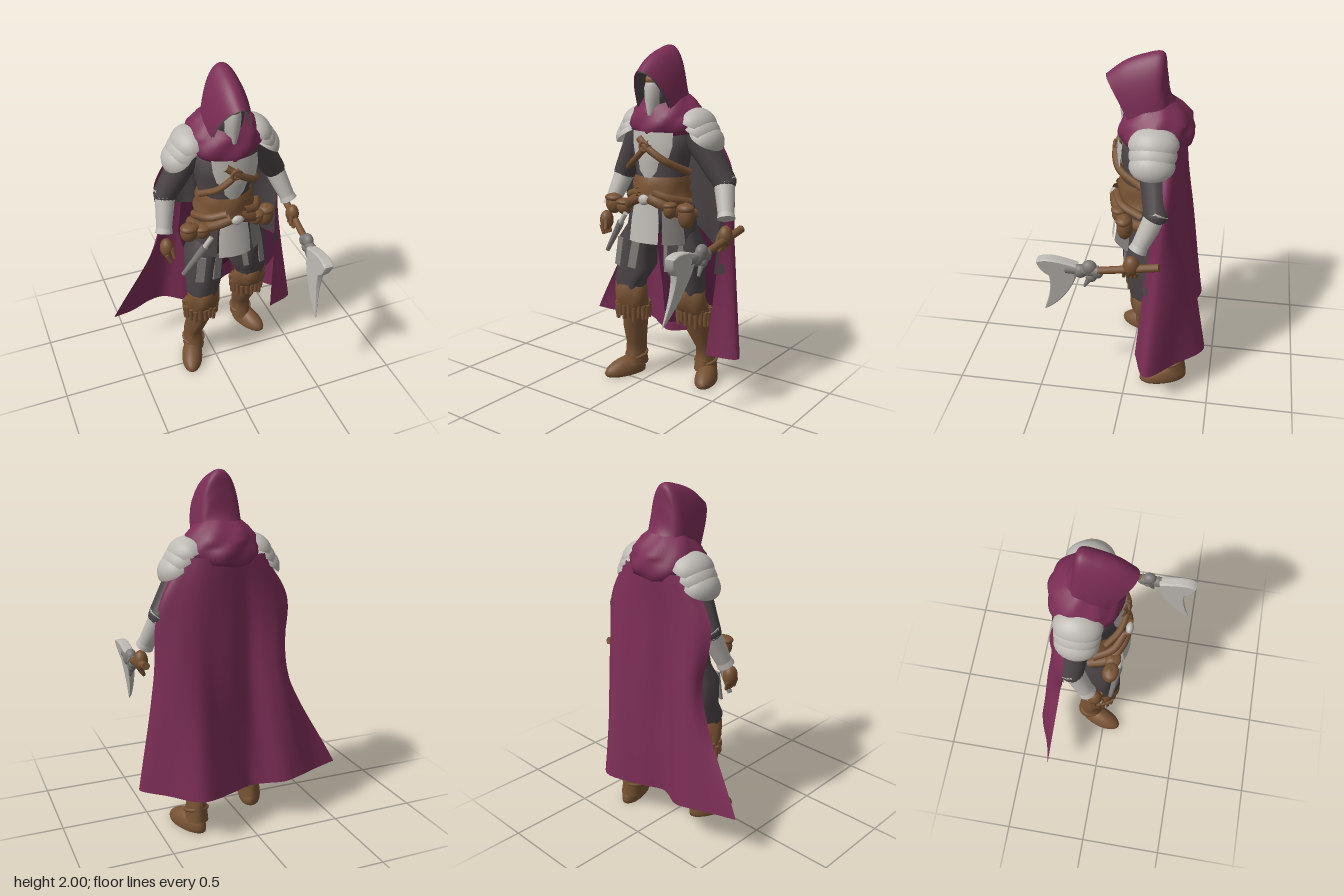
import * as THREE from 'three';
import { mergeVertices } from 'three/addons/utils/BufferGeometryUtils.js';

const V = (x, y, z) => new THREE.Vector3(x, y, z);
const paint = (name, color) => new THREE.MeshStandardMaterial({ name, color, side: THREE.DoubleSide });

export function createModel() {
  const model = new THREE.Group();
  model.name = 'hoodedWarrior';
  const purple = paint('purple cloth', 0x7b2d55), deep = paint('deep purple cloth', 0x4c1a38);
  const silver = paint('pale steel', 0xbdb9b3), grey = paint('grey steel', 0x7d7976);
  const dark = paint('dark cloth', 0x4a4345), brown = paint('brown leather', 0x775233);
  const skin = paint('skin', 0x8a6240);

  const add = (name, mat, geo) => {
    const m = new THREE.Mesh(geo, mat);
    m.name = name;
    model.add(m);
    return m;
  };
  // Surface through a grid of points
  const grid = (rows) => {
    const n = rows[0].length, idx = [];
    for (let i = 0; i < rows.length - 1; i++) for (let j = 0; j < n - 1; j++) {
      const a = i * n + j, b = a + n;
      idx.push(a, b, a + 1, b, b + 1, a + 1);
    }
    let g = new THREE.BufferGeometry().setFromPoints(rows.flat());
    g.setIndex(idx);
    g = mergeVertices(g, 1e-5);
    g.computeVertexNormals();
    return g;
  };
  // Smooth cloth through a few guide rows; v0 and v1 give the extent of each column
  const loft = (rows, nu, nv, v0 = () => 0, v1 = () => 1) => {
    const cols = rows[0].map((_, j) => new THREE.CatmullRomCurve3(rows.map(r => r[j])));
    return grid(Array.from({ length: nv + 1 }, (_, i) => new THREE.CatmullRomCurve3(
      cols.map((c, j) => c.getPoint(THREE.MathUtils.lerp(v0(j), v1(j), i / nv)))).getPoints(nu)));
  };
  // Stack of elliptical rings [y, cx, cz, rx, rz, arc]; ripple makes folds
  const stack = (name, mat, rings, seg = 28, ripple = 0, waves = 7) =>
    add(name, mat, grid(rings.map(([y, cx, cz, rx, rz, arc = Math.PI], i) =>
      Array.from({ length: seg + 1 }, (_, j) => {
        const a = arc * (2 * j / seg - 1), k = 1 + ripple * Math.sin(waves * a + i * 1.3);
        return V(cx + rx * k * Math.sin(a), y + ripple * 0.15 * Math.sin(3 * a + i), cz + rz * k * Math.cos(a));
      }))));
  const limb = (name, mat, a, b, ra, rb, seg = 14) => {
    const m = add(name, mat, new THREE.CylinderGeometry(rb, ra, a.distanceTo(b), seg));
    m.position.copy(a).lerp(b, 0.5);
    m.quaternion.setFromUnitVectors(V(0, 1, 0), b.clone().sub(a).normalize());
    return m;
  };
  const ball = (name, mat, p, s) => {
    const m = add(name, mat, new THREE.SphereGeometry(1, 20, 14));
    m.position.copy(p);
    m.scale.copy(s);
    return m;
  };
  const strap = (name, mat, pts, r) =>
    add(name, mat, new THREE.TubeGeometry(new THREE.CatmullRomCurve3(pts), 24, r, 8));

  // Cape, with dark lining inside: near black above, deep purple behind the legs
  const capeRow = (ys, xs, zs) => xs.map((x, i) => V(x, ys[i] ?? ys[0], zs[i]));
  const cape = [
    capeRow([1.56], [-.14, -.13, -.08, -.02, .04, .1, .16, .22, .27, .32, .34],
      [-.19, -.26, -.28, -.29, -.3, -.3, -.3, -.29, -.27, -.24, -.2]),
    capeRow([1.3], [-.3, -.25, -.18, -.1, -.02, .08, .18, .28, .38, .465, .45],
      [-.2, -.25, -.28, -.29, -.28, -.3, -.31, -.31, -.28, -.23, -.17]),
    capeRow([.9], [-.28, -.26, -.2, -.13, -.04, .07, .19, .3, .42, .495, .45],
      [-.24, -.3, -.33, -.32, -.28, -.32, -.34, -.36, -.31, -.2, -.13]),
    capeRow([.27, .26, .26, .25, .23, .22, .23, .25, .24, .23, .24], [-.59, -.46, -.32, -.22, -.1, -.03, .1, .31, .46, .582, .41],
      [-.3, -.33, -.385, -.4, -.34, -.315, -.38, -.46, -.3, -.14, -.06]),
  ];
  add('cape', purple, loft(cape, 70, 30));
  const lining = cape.map(r => r.map(p => V(.08 + (p.x - .08) * .97, p.y, p.z + .01)));
  const liningEnd = j => .54 + .22 * THREE.MathUtils.smoothstep(j, 4, 8);
  add('capeLining', dark, loft(lining, 70, 20, () => 0, liningEnd));
  add('lowerCapeLining', deep, loft(lining.map(r => r.slice(3, 10)), 40, 12, j => liningEnd(j + 3),
    j => [.7, .86, .97, .94, .92, .93, .8][j]));

  // Hood: arches [apexY, apexZ, baseY, baseZ, halfWidth, point] from brim to nape
  const hood = (w0, drop) => [[1.865, .14, 1.58, -.01, .116, 1.5], [1.94, .045, 1.57, -.04, .126, 1.3], [1.985, -.06, 1.56, -.08, .132, 1],
    [2.0, -.16, 1.56, -.1, .13, 1], [1.9, -.18, 1.56, -.15, .128, 1], [1.77, -.2, 1.56, -.2, .125, 1], [1.67, -.275, 1.54, -.25, .12, 1]]
    .map(([ay, az, by, bz, w, p]) => Array.from({ length: 17 }, (_, j) => {
      const a = (j / 8 - 1) * Math.PI / 2, h = Math.pow(Math.max(Math.cos(a), 0), .85);
      return V(.085 + (w - w0) * Math.sin(a), by + (ay - by) * h - drop, bz + (az - bz) * Math.pow(h, p));
    }));
  add('hood', purple, loft(hood(0, 0), 48, 36));
  add('hoodLining', dark, loft(hood(.01, .014), 48, 16, () => .01, () => .42));
  stack('cowl', purple, [[1.74, .085, -.13, .11, .1], [1.7, .085, -.14, .155, .14], [1.655, .085, -.135, .195, .185],
    [1.625, .085, -.13, .203, .187], [1.6, .085, -.13, .225, .2], [1.56, .085, -.13, .228, .205],
    [1.52, .085, -.13, .19, .2], [1.5, .085, -.12, .15, .17], [1.52, .085, -.12, .1, .1]]
    .map(([y, x, z, rx, rz]) => [y - .0, x, z, rx, rz]), 64, .03, 7);

  // Head and face mask
  ball('head', dark, V(.085, 1.74, -.05), V(.09, .12, .09));
  ball('brow', skin, V(.085, 1.815, .0), V(.05, .035, .06));
  stack('faceMask', silver, [[1.8, .085, -.01, .05, .07, 1.3], [1.77, .085, -.01, .056, .082, 1.3],
    [1.7, .085, -.01, .05, .08, 1.3], [1.62, .085, -.01, .028, .07, 1.3]], 16);

  // Torso, breastplate and straps
  stack('torso', dark, [[1.58, .08, -.12, .13, .1], [1.5, .08, -.09, .185, .14], [1.4, .08, -.08, .18, .14],
    [1.26, .08, -.08, .15, .13], [1.1, .08, -.08, .18, .15], [.98, .08, -.08, .2, .15], [.96, .08, -.08, 0, 0]], 32);
  stack('breastplate', silver, [[1.53, .095, -.08, .2, .155, .75], [1.46, .1, -.08, .205, .16, .72],
    [1.39, .1, -.08, .2, .16, .62], [1.36, .09, -.08, .185, .157, .38], [1.31, .085, -.08, .175, .152, .34],
    [1.27, .085, -.08, .165, .147, .14]], 20);
  strap('chestStrap', brown, [V(.11, 1.47, .085), V(.06, 1.42, .088), V(-.02, 1.355, .065), V(-.1, 1.31, .0)], .019);
  strap('sideStrap', brown, [V(.03, 1.49, .07), V(.1, 1.44, .088), V(.2, 1.37, .055), V(.27, 1.3, -.08)], .022);
  add('strapBuckle', brown, new THREE.TorusGeometry(.025, .01, 8, 16)).position.set(.08, 1.45, .098);

  // Belts and pouches
  stack('wideBelt', brown, [[1.275, .08, -.08, .155, .145], [1.23, .08, -.08, .17, .165], [1.19, .08, -.08, .165, .16],
    [1.15, .08, -.08, .185, .17]], 32, .012);
  for (const s of [-1, 1]) {
    strap('hipBelt', brown, [V(.085 + s * .03, 1.16, .095), V(.085 + s * .1, 1.13, .075), V(.085 + s * .18, 1.08, .01),
      V(.085 + s * .21, 1.06, -.1)], .032);
    strap('upperHipBelt', brown, [V(.085 + s * .05, 1.19, .085), V(.085 + s * .14, 1.16, .04), V(.085 + s * .2, 1.13, -.07)], .024);
  }
  for (const [x, y, z, w, h] of [[-.18, 1.09, .04, .052, .062], [-.1, 1.08, .04, .05, .05],
    [.23, 1.1, .05, .04, .05], [.31, 1.07, .01, .05, .075]]) {
    ball('pouch', brown, V(x, y, z), V(w, h, .045));
    ball('pouchFlap', brown, V(x, y + h * .55, z + .006), V(w * 1.06, h * .4, .045));
  }
  ball('beltBuckle', silver, V(.09, 1.15, .11), V(.035, .03, .022));

  // Tabard and skirt plates
  stack('tabard', silver, [[1.13, .08, -.06, .17, .155, .5], [1.02, .08, -.06, .2, .165, .5], [.9, .08, -.06, .215, .18, .48]], 12);
  for (const s of [-1, 1]) for (const [a, low] of [[.85, .9], [1.5, .88], [2.2, .88]]) {
    const row = (y, r) => Array.from({ length: 7 }, (_, j) => {
      const t = s * (a + (j / 6 - .5) * .65);
      return V(.085 + r * Math.sin(t), y, -.08 + r * .85 * Math.cos(t));
    });
    add('skirtPlate', s > 0 && a < 1 ? grey : dark, grid([row(1.1, .195), row(1, .21), row(low, .23)]));
  }
  // Dagger at the belt
  limb('daggerBlade', grey, V(-.1, .99, .08), V(-.225, .8, .05), .024, .014, 6);
  limb('daggerGrip', silver, V(-.1, .99, .08), V(-.06, 1.05, .085), .015, .015, 8);

  // Legs and boots: side -1 stands forward, side 1 stands back
  const legs = [
    { s: -1, hip: V(0, 1.02, -.08), thigh: V(-.065, .8, -.04), knee: V(-.085, .58, 0), calf: V(-.1, .35, -.06), ankle: V(-.12, .12, -.1), foot: V(-.155, .02, -.03) },
    { s: 1, hip: V(.17, 1.02, -.1), thigh: V(.235, .8, -.09), knee: V(.265, .58, -.1), calf: V(.275, .35, -.2), ankle: V(.285, .12, -.27), foot: V(.32, .02, -.22) },
  ];
  const ring = (p, rx, rz, dy = 0) => [p.y + dy, p.x, p.z, rx, rz];
  for (const { s, hip, thigh, knee, calf, ankle, foot } of legs) {
    stack('trouserLeg', dark, [ring(hip, .1, .11), ring(thigh, .115, .115, .08), ring(thigh, .117, .11, -.08),
      ring(knee, .105, .09, .06), ring(knee, .08, .07, -.04)], 28, .03, 6);
    // Hanging strips over the thigh
    for (const o of [-.055, .05]) {
      const strip = add('thighStrip', grey, new THREE.BoxGeometry(s < 0 ? .05 : .034, .17, .012));
      strip.position.set(thigh.x + o, .81, thigh.z + .105);
      strip.rotation.set(-.08, o * 5, s * .12);
    }
    stack('bootShaft', brown, [ring(knee, .085, .08), ring(calf, .072, .082, .08), ring(calf, .07, .085, -.02),
      ring(ankle, .058, .07, .08), ring(ankle, .058, .072, .02), ring(ankle, .066, .085, -.06)], 28, .02, 5);
    const hem = V((knee.x + calf.x) / 2, .46, (knee.z + calf.z) / 2);
    stack('bootCuff', brown, [ring(knee, .07, .06, .01), ring(knee, .1, .085, .03), ring(knee, .102, .085, -.06),
      ring(hem, .1, .09)], 32, .04, 5);
    for (let i = 0; i < 20; i++) {
      const a = i / 20 * Math.PI * 2;
      const f = add('cuffFringe', brown, new THREE.CylinderGeometry(.016, .011, .085, 6));
      f.position.set(hem.x + .1 * Math.sin(a), .435 + .014 * Math.sin(i * 2.4), hem.z + .09 * Math.cos(a));
    }
    // Foot: an egg flattened against the ground
    const g = new THREE.SphereGeometry(1, 24, 16).scale(.066, .085, .145), p = g.attributes.position;
    for (let i = 0; i < p.count; i++) p.setY(i, Math.max(p.getY(i) * (1 - p.getZ(i) * 2), -.02));
    g.computeVertexNormals();
    const boot = add('bootFoot', brown, g);
    boot.position.copy(foot);
    boot.rotation.y = s * .35;
    const band = add('ankleStrap', brown, new THREE.TorusGeometry(.064, .01, 8, 20));
    band.position.copy(ankle);
    band.rotation.x = Math.PI / 2 + .25;
  }

  // Arms, gauntlets, gloves and layered pauldrons
  const arms = [
    { s: -1, sh: V(-.1, 1.52, -.14), el: V(-.25, 1.25, -.16), wr: V(-.295, 1.04, -.07), hand: V(-.295, .96, -.03) },
    { s: 1, sh: V(.27, 1.52, -.14), el: V(.44, 1.25, -.18), wr: V(.51, 1.06, -.09), hand: V(.525, .97, -.06) },
  ];
  for (const { s, sh, el, wr, hand } of arms) {
    limb('upperSleeve', dark, sh, el, .09, .068, 18);
    ball('elbow', dark, el, V(.068, .06, .068));
    limb('gauntlet', silver, el.clone().lerp(wr, -.04), wr, .062, .044, 16);
    limb('gauntletRim', silver, el.clone().lerp(wr, -.08), el.clone().lerp(wr, .1), .067, .064, 16);
    limb('gauntletCuff', silver, wr.clone().lerp(el, .15), wr, .046, .052, 16);
    ball('glove', brown, hand, V(.04, .06, .045));
    for (let i = 0; i < 4; i++) {
      const k = hand.clone().add(V(s * .012, -.025, .035 - i * .022));
      limb('finger', brown, k, k.clone().add(V(-s * .022, -.055, .008)), .014, .01, 8);
    }
    limb('thumb', brown, hand.clone().add(V(-s * .02, .01, .03)), hand.clone().add(V(-s * .03, -.05, .05)), .014, .01, 8);
    // Plates flare outward, each tucked under the one above
    for (let i = 0; i < 3; i++) {
      const d = add('pauldronPlate', silver, new THREE.SphereGeometry(1, 24, 8, 0, Math.PI * 2, 0, Math.PI * .46));
      d.scale.set(.108 - i * .004, .1, .135 - i * .006);
      d.position.set(sh.x + s * (.006 + i * .03), 1.56 - i * .045, -.14);
      d.rotation.z = -s * (.36 + i * .1);
    }
  }

  // Axe held forward in the left hand
  limb('axeHaft', brown, V(.54, .985, -.21), V(.52, .91, .15), .022, .02, 12);
  limb('axeNeck', grey, V(.52, .91, .12), V(.515, .91, .3), .03, .028, 10);
  for (const [y, z, r] of [[.9, .13, .036], [.93, .17, .042], [.87, .16, .032], [.9, .22, .04]])
    ball('axeKnob', grey, V(.518, y, z), V(r * .8, r, r));
  limb('axeSpike', grey, V(.518, .9, .15), V(.518, .8, .2), .025, .008, 8);
  const blade = new THREE.Shape();
  blade.moveTo(.455, .945);
  blade.quadraticCurveTo(.4, .985, .24, .93);
  blade.lineTo(.26, .83);
  blade.quadraticCurveTo(.33, .66, .445, .575);
  blade.quadraticCurveTo(.38, .74, .395, .85);
  blade.quadraticCurveTo(.445, .88, .455, .945);
  const bladeGeo = new THREE.ExtrudeGeometry(blade, { depth: .03, bevelSize: .006, bevelThickness: .012, bevelSegments: 2, curveSegments: 10 });
  bladeGeo.rotateY(-Math.PI / 2);
  // Taper and lean the blade towards its tip
  const bp = bladeGeo.attributes.position;
  for (let i = 0; i < bp.count; i++) {
    const t = THREE.MathUtils.clamp((bp.getY(i) - .57) / .39, 0, 1);
    bp.setX(i, (bp.getX(i) + .015) * (.15 + 1.0 * t) + .46 + .05 * t);
  }
  bladeGeo.computeVertexNormals();
  add('axeBlade', silver, bladeGeo);
  return model;
}
